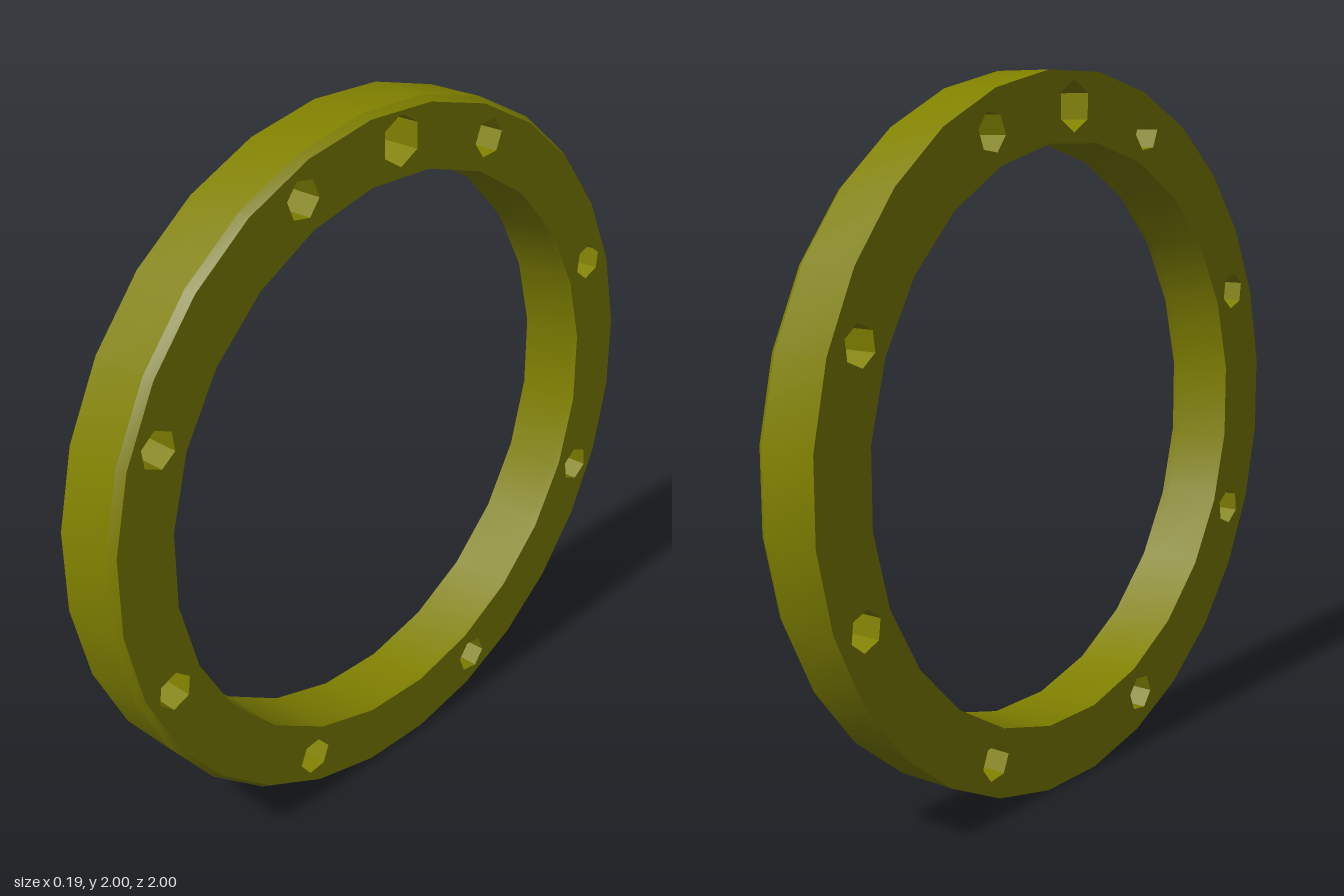
import * as THREE from 'three';
import { toCreasedNormals } from 'three/addons/utils/BufferGeometryUtils.js';

// points of a regular polygon
function polygon(cx, cy, r, sides, turn = 0) {
  return Array.from({ length: sides }, (_, i) => {
    const a = turn + (i / sides) * Math.PI * 2;
    return new THREE.Vector2(cx + r * Math.cos(a), cy + r * Math.sin(a));
  });
}

export function createModel() {
  const group = new THREE.Group();
  const material = new THREE.MeshStandardMaterial({ color: 0x808000 });
  const x0 = -0.1, x1 = 0.095, chamferStart = 0.072;
  const boltRadius = 0.907;

  // ring outline with the large bore
  const shape = new THREE.Shape(polygon(0, 0, 1.005, 28, Math.PI / 28));
  shape.holes.push(new THREE.Path(polygon(0, 0, 0.815, 24, Math.PI / 24)));

  // eight bolt holes, and a larger locating hole at the top
  for (let i = 0; i < 8; i++) {
    const a = (i + 0.5) * Math.PI / 4;
    shape.holes.push(new THREE.Path(
      polygon(boltRadius * Math.cos(a), boltRadius * Math.sin(a), 0.055, 6, a)));
  }
  shape.holes.push(new THREE.Path(polygon(0, boltRadius, 0.07, 6, Math.PI / 2)));

  const geometry = new THREE.ExtrudeGeometry(shape, { depth: 2, steps: 2, bevelEnabled: false });

  // set the three layers, pulling in the outer rim of the last for the chamfer
  const layers = [x0, chamferStart, x1];
  const p = geometry.attributes.position;
  for (let i = 0; i < p.count; i++) {
    const layer = Math.round(p.getZ(i));
    const x = p.getX(i), y = p.getY(i);
    const s = layer === 2 && Math.hypot(x, y) > 1 ? 0.985 : 1;
    p.setXYZ(i, x * s, y * s, layers[layer]);
  }
  geometry.rotateY(Math.PI / 2);
  geometry.translate(0, 1, 0);

  const ring = new THREE.Mesh(toCreasedNormals(geometry, Math.PI / 6), material);
  ring.name = 'flangeRing';
  group.add(ring);
  return group;
}
